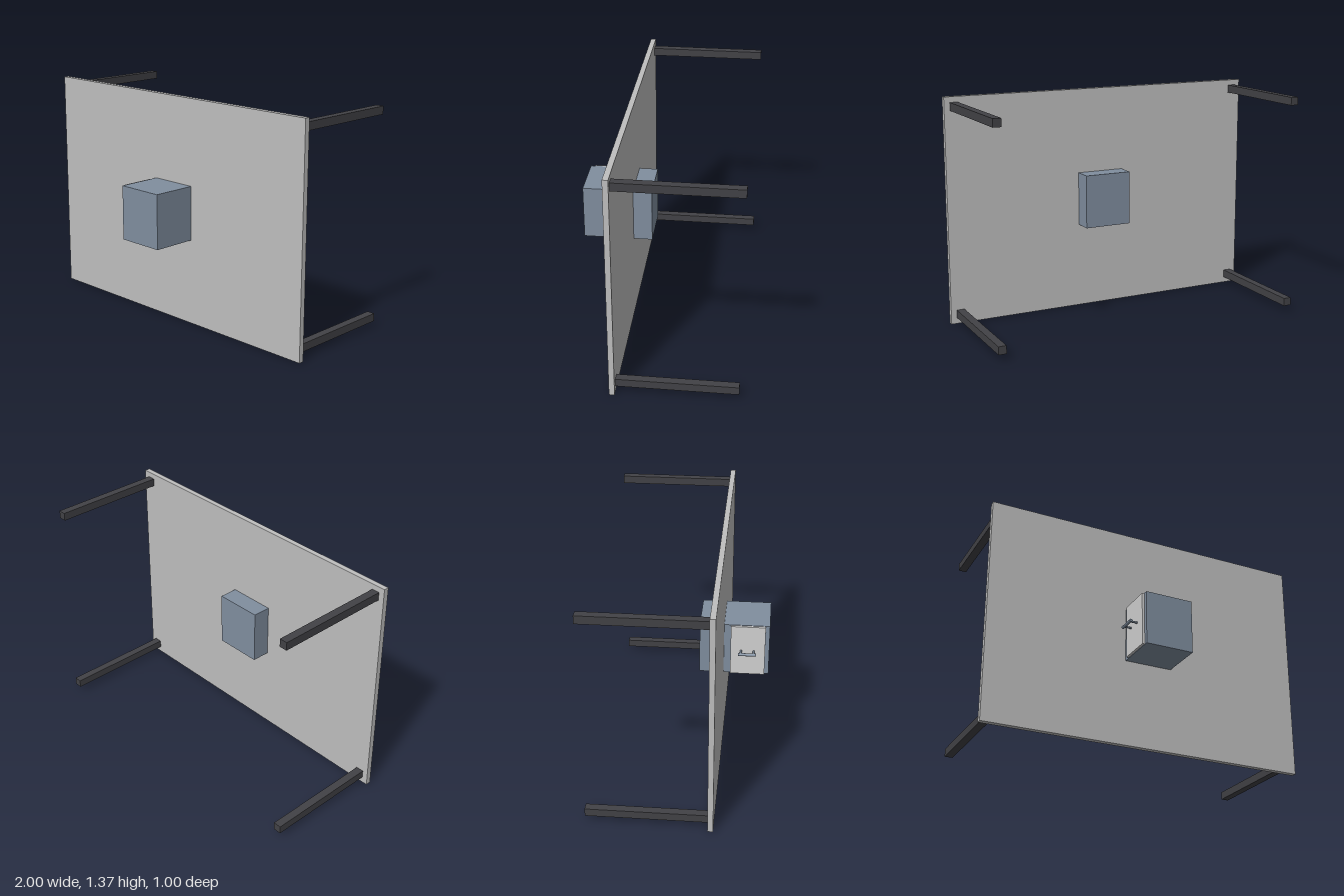
import * as THREE from 'three';

export function createModel() {
  const group = new THREE.Group();
  const boardMat = new THREE.MeshStandardMaterial({ color: 0xbfbfbf, name: 'light grey' });
  const legMat = new THREE.MeshStandardMaterial({ color: 0x424246, name: 'charcoal' });
  const boxMat = new THREE.MeshStandardMaterial({ color: 0x808e9f, name: 'slate blue' });
  const doorMat = new THREE.MeshStandardMaterial({ color: 0xd2d2d2, name: 'pale grey' });

  const add = (name, geometry, material, x, y, z) => {
    const mesh = new THREE.Mesh(geometry, material);
    mesh.name = name;
    mesh.position.set(x, y, z);
    group.add(mesh);
    return mesh;
  };
  // Box given by its lower and upper limits on each axis
  const block = (name, material, [x0, x1], [y0, y1], [z0, z1]) =>
    add(name, new THREE.BoxGeometry(x1 - x0, y1 - y0, z1 - z0), material,
      (x0 + x1) / 2, (y0 + y1) / 2, (z0 + z1) / 2);

  // Upright board
  block('board', boardMat, [-1, 1], [0, 1.367], [0.198, 0.23]);

  // Four legs reaching back from the corners
  for (const x of [-0.941, 0.941]) {
    for (const y of [0.06, 1.31]) {
      block('leg', legMat, [x - 0.024, x + 0.024], [y - 0.024, y + 0.024], [-0.5, 0.198]);
    }
  }

  // Cabinet set through the board, with a door on its right side
  block('cabinet', boxMat, [-0.14, 0.155], [0.522, 0.85], [0.085, 0.5]);
  block('door', doorMat, [-0.155, -0.14], [0.525, 0.847], [0.27, 0.475]);

  // Door handle: two posts and a round grip
  for (const z of [0.332, 0.408]) {
    const post = add('handlePost', new THREE.CylinderGeometry(0.006, 0.006, 0.05, 12), boxMat, -0.177, 0.685, z);
    post.rotation.z = Math.PI / 2;
  }
  const grip = add('handleGrip', new THREE.CylinderGeometry(0.009, 0.009, 0.106, 16), boxMat, -0.2, 0.685, 0.37);
  grip.rotation.x = Math.PI / 2;

  return group;
}
